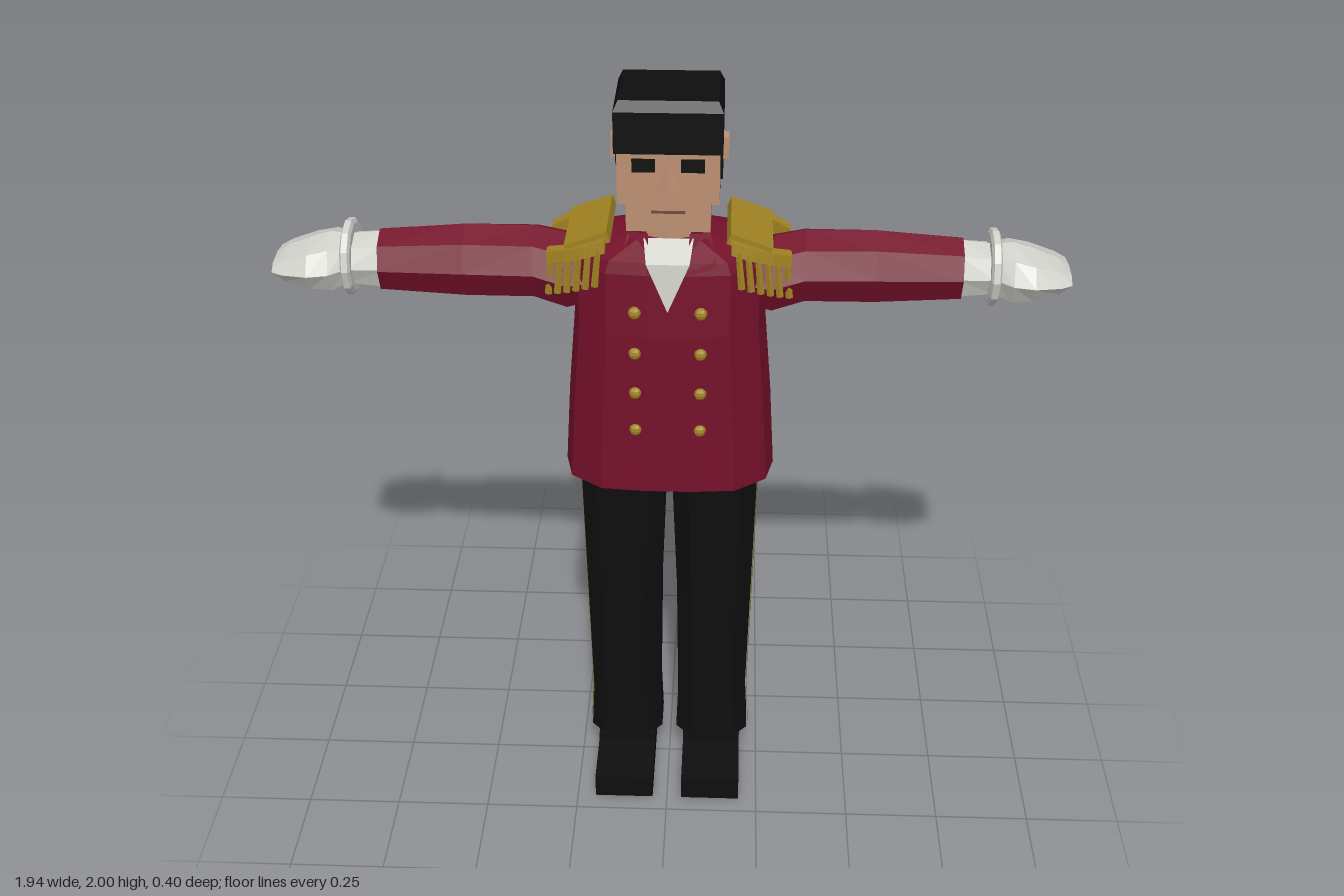
import * as THREE from 'three';

const mat = (name, color) => {
  const m = new THREE.MeshStandardMaterial({ color, side: THREE.DoubleSide });
  m.name = name;
  return m;
};

// Closed skin over rings of [x, y, z] points, flat shaded
function loft(rings) {
  const pos = [], n = rings[0].length;
  const tri = (...p) => p.forEach((v) => pos.push(...v));
  const mid = (r) => [0, 1, 2].map((k) => r.reduce((s, p) => s + p[k], 0) / n);
  const last = rings[rings.length - 1], lo = mid(rings[0]), hi = mid(last);
  for (let i = 0; i < n; i++) {
    const j = (i + 1) % n;
    for (let r = 0; r < rings.length - 1; r++) {
      const a = rings[r], b = rings[r + 1];
      tri(a[i], b[i], a[j]);
      tri(a[j], b[i], b[j]);
    }
    tri(lo, rings[0][i], rings[0][j]);
    tri(hi, last[j], last[i]);
  }
  return surface(pos);
}

function surface(pos) {
  const g = new THREE.BufferGeometry();
  g.setAttribute('position', new THREE.Float32BufferAttribute(pos, 3));
  g.computeVertexNormals();
  return g;
}

// Thin strip of quads between two rows of points
function strip(a, b) {
  const pos = [];
  for (let i = 0; i < a.length - 1; i++) {
    [a[i], b[i], a[i + 1], a[i + 1], b[i], b[i + 1]].forEach((p) => pos.push(...p));
  }
  return surface(pos);
}

// Limb along +x from sections [x, y, z, radiusY, radiusZ]
const limb = (sections, sides = 8) => loft(sections.map(([x, y, z, ry, rz]) =>
  Array.from({ length: sides }, (_, i) => {
    const t = (i / sides) * Math.PI * 2;
    return [x, y - ry * Math.cos(t), z + rz * Math.sin(t)];
  })));

export function createModel() {
  const red = mat('coatRed', 0x74102a), black = mat('black', 0x0e0e0e);
  const gold = mat('gold', 0xa08222), white = mat('gloveWhite', 0xd0d0ca), skin = mat('skin', 0xbd8f73);
  const dark = mat('mouthBrown', 0x6b4a3c);
  const model = new THREE.Group();
  model.name = 'bandsman';

  const add = (parent, name, geo, m, x = 0, y = 0, z = 0) => {
    const flat = geo.index ? geo.toNonIndexed() : geo;
    flat.computeVertexNormals();
    const mesh = new THREE.Mesh(flat, m);
    mesh.name = name;
    mesh.position.set(x, y, z);
    parent.add(mesh);
    return mesh;
  };
  // Box given by its min and max on each axis
  const box = (parent, name, m, x0, x1, y0, y1, z0, z1) => add(parent, name,
    new THREE.BoxGeometry(x1 - x0, y1 - y0, z1 - z0), m, (x0 + x1) / 2, (y0 + y1) / 2, (z0 + z1) / 2);

  // Coat body
  const half = [[0.27, -0.03], [0.25, 0.06], [0.17, 0.12], [0.06, 0.13]];
  const back = [[0.1, -0.2], [0.18, -0.175], [0.25, -0.11]];
  const flip = (p) => p.map(([x, z]) => [-x, z]).reverse();
  const outline = [...half, ...flip(half), ...flip(back), ...back];
  add(model, 'coat', loft([
    [0.98, 1, 1], [1.2, 0.95, 0.98], [1.42, 0.88, 0.98], [1.58, 0.88, 0.92], [1.61, 0.83, 0.88], [1.645, 0.42, 0.5],
  ].map(([y, sx, sz]) => outline.map(([x, z]) => [x * sx, y, -0.035 + (z + 0.035) * sz]))), red);

  // Shirt front, collar and buttons
  add(model, 'shirtFront', strip(
    [[0, 1.49, 0.131], [-0.052, 1.61, 0.118], [-0.06, 1.65, 0.054]],
    [[0, 1.49, 0.131], [0.052, 1.61, 0.118], [0.06, 1.65, 0.054]]), white);
  add(model, 'collar', new THREE.CylinderGeometry(0.092, 0.112, 0.06, 10, 1, true, 0.6, Math.PI * 2 - 1.2),
    red, 0, 1.638, -0.03);
  for (const s of [1, -1]) {
    add(model, 'lapel', strip(
      [[s * 0.05, 1.66, 0.05], [s * 0.045, 1.585, 0.128]],
      [[s * 0.1, 1.65, 0.02], [s * 0.115, 1.605, 0.118]]), red);
    for (const y of [1.485, 1.375, 1.265, 1.16]) {
      add(model, 'button', new THREE.SphereGeometry(0.016, 8, 6), gold, s * 0.08, y, 0.124);
    }
  }

  // Head
  add(model, 'neck', new THREE.CylinderGeometry(0.075, 0.08, 0.12, 8), skin, 0, 1.64, -0.025);
  box(model, 'face', skin, -0.12, 0.12, 1.75, 1.9, -0.12, 0.082);
  box(model, 'jaw', skin, -0.1, 0.1, 1.68, 1.75, -0.108, 0.082);
  box(model, 'mouth', dark, -0.04, 0.04, 1.727, 1.733, 0.08, 0.085);
  add(model, 'nose', loft([
    [[0.03, 1.785, 0.08], [0, 1.79, 0.122], [-0.03, 1.785, 0.08]],
    [[0.004, 1.845, 0.08], [0, 1.845, 0.086], [-0.004, 1.845, 0.08]],
  ]), skin);

  // Hair
  const ring = (y, x, z0, z1) => [[x, y, z0], [x, y, z1], [-x, y, z1], [-x, y, z0]];
  add(model, 'hairTop', loft([
    ring(1.875, 0.127, -0.14, 0.088), ring(1.975, 0.127, -0.14, 0.088), ring(2, 0.115, -0.13, 0.076),
  ]), black);
  box(model, 'hairBack', black, -0.126, 0.126, 1.755, 1.88, -0.14, -0.062);
  box(model, 'hairNape', black, -0.12, 0.12, 1.71, 1.76, -0.14, -0.11);

  // Paired parts, built on the left and mirrored
  for (const s of [1, -1]) {
    const side = new THREE.Group();
    side.name = s > 0 ? 'leftSide' : 'rightSide';
    side.scale.x = s;
    model.add(side);

    // Eye, ear and sideburn
    box(side, 'eye', black, 0.03, 0.085, 1.83, 1.862, 0.079, 0.086);
    box(side, 'ear', skin, 0.115, 0.14, 1.825, 1.878, -0.058, -0.018);
    box(side, 'sideburn', black, 0.11, 0.126, 1.825, 1.88, -0.015, 0.03);

    // Sleeve, glove and cuff ring
    add(side, 'sleeve', limb([
      [0.18, 1.53, -0.03, 0.08, 0.09], [0.25, 1.525, -0.03, 0.098, 0.1], [0.33, 1.547, -0.03, 0.094, 0.092],
      [0.5, 1.547, -0.03, 0.095, 0.088], [0.71, 1.545, -0.03, 0.08, 0.077],
    ]), red);
    add(side, 'glove', limb([
      [0.7, 1.545, -0.03, 0.075, 0.07], [0.79, 1.545, -0.035, 0.064, 0.075], [0.83, 1.54, -0.035, 0.075, 0.1],
      [0.88, 1.54, -0.03, 0.062, 0.106], [0.945, 1.535, -0.035, 0.04, 0.09], [0.972, 1.535, -0.037, 0.022, 0.076],
    ]), white);
    add(side, 'cuffRing', limb([
      [0.775, 1.547, -0.037, 0.084, 0.088], [0.78, 1.547, -0.037, 0.095, 0.098],
      [0.795, 1.547, -0.037, 0.095, 0.098], [0.8, 1.547, -0.037, 0.084, 0.088],
    ], 12), white);

    // Epaulette with fringe at front and back
    const pad = add(side, 'epaulette', new THREE.BoxGeometry(0.108, 0.028, 0.225), gold, 0.194, 1.642, -0.038);
    pad.rotation.z = -0.34;
    for (const f of [1, -1]) {
      const edge = (t, y, d) => [0.15 + 0.145 * t, 1.655 - 0.05 * t + y, -0.04 + f * (0.135 - 0.045 * t * t + d)];
      const ts = [0, 0.35, 0.7, 1];
      add(side, 'fringeBand', loft(ts.map((t) => [
        edge(t, -0.025, -0.03), edge(t, -0.025, 0.008), edge(t, 0.004, 0.004), edge(t, 0.004, -0.03)])), gold);
      for (let i = 0; i < 6; i++) {
        const [x, y, z] = edge(0.15 + i * 0.16, -0.06, 0);
        const tassel = add(side, 'tassel', new THREE.CylinderGeometry(0.008, 0.01, 0.095, 6), gold, x, y, z);
        tassel.rotation.z = 0.1;
      }
    }

    // Trouser leg and side stripe: [y, centreX, radiusX, radiusZ]
    const leg = [[0.105, 0.12, 0.1, 0.098], [0.24, 0.119, 0.094, 0.094], [0.6, 0.121, 0.1, 0.098], [1, 0.118, 0.112, 0.108]];
    const oct = [[1, -0.5], [1, 0.5], [0.6, 0.93], [0, 1], [-0.6, 0.93], [-1, 0.5], [-1, -0.5], [-0.6, -0.93], [0, -1], [0.6, -0.93]];
    add(side, 'trouserLeg', loft(leg.map(([y, c, rx, rz]) =>
      oct.map(([x, z]) => [c + x * rx, y, -0.035 + z * rz]))), black);
    const row = (z) => leg.map(([y, c, rx]) => [c + rx + 0.004, y, z]);
    add(side, 'trouserStripe', strip(row(-0.06), row(-0.012)), gold);

    // Shoe
    box(side, 'ankle', black, 0.065, 0.175, 0.06, 0.13, -0.1, 0.02);
    box(side, 'shoeHeel', black, 0.04, 0.2, 0, 0.085, -0.12, 0.035);
    box(side, 'shoeToe', black, 0.04, 0.2, 0, 0.068, 0.03, 0.2);
  }
  return model;
}
